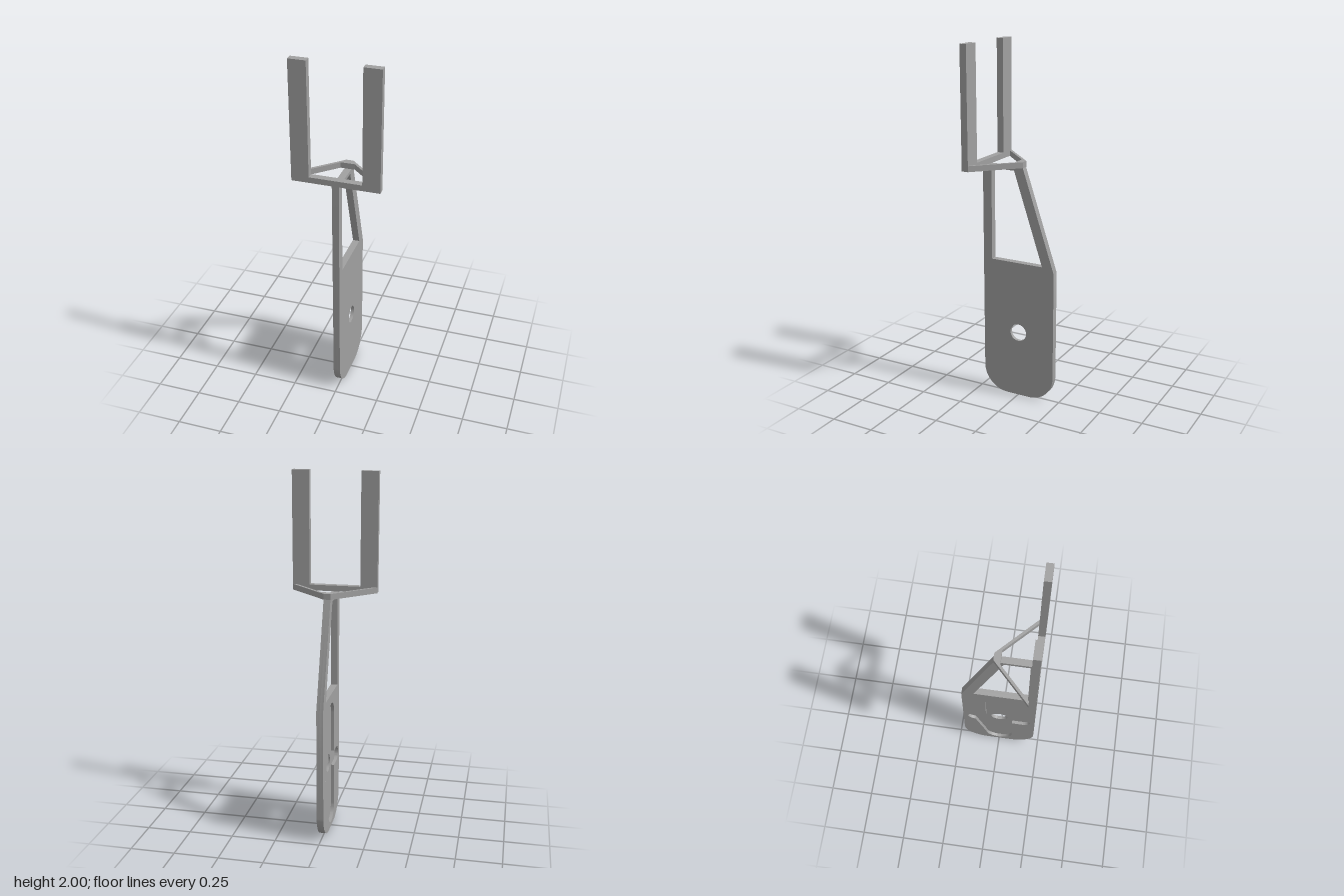
import * as THREE from 'three';
import { toCreasedNormals } from 'three/addons/utils/BufferGeometryUtils.js';

const grey = new THREE.MeshStandardMaterial({ color: 0xa0a0a0 });
grey.name = 'grey';

const HALF = 0.0188; // half the plate thickness
const FRONT = 0.218; // half the depth
const HUB_Y = 0.385; // height of the shaft hole

const points = (list) => list.map(([x, y]) => new THREE.Vector2(x, y));

function extrude(shape, depth) {
  const geometry = new THREE.ExtrudeGeometry(shape, { depth, bevelEnabled: false, curveSegments: 16 });
  return toCreasedNormals(geometry, 0.6);
}

function addMesh(group, name, geometry) {
  const mesh = new THREE.Mesh(geometry, grey);
  mesh.name = name;
  group.add(mesh);
}

// Side outline of the arm, drawn with u = -z, with its window cut out
function armShape() {
  const r = 0.148;
  const s = new THREE.Shape();
  s.moveTo(-FRONT, 1.34);
  s.lineTo(-FRONT, r);
  s.absarc(-FRONT + r, r, r, Math.PI, Math.PI * 1.5, false);
  s.absarc(FRONT - r, r, r, Math.PI * 1.5, Math.PI * 2, false);
  s.lineTo(FRONT, 0.77);
  s.lineTo(0.028, 1.34);
  s.closePath();
  s.holes.push(new THREE.Path(points([[-0.165, 0.8], [-0.165, 1.32], [-0.025, 1.32], [0.147, 0.8]])));
  return s;
}

// Cross-shaped recess with rounded ends
function crossPath() {
  const R = 0.08, r = 0.044, tall = 0.36 - R, wide = 0.19 - r;
  const p = new THREE.Path();
  const q = Math.PI / 2;
  p.moveTo(R, HUB_Y - r);
  p.absarc(wide, HUB_Y, r, -q, q, false);
  p.lineTo(R, HUB_Y + r);
  p.absarc(0, HUB_Y + tall, R, 0, 2 * q, false);
  p.lineTo(-R, HUB_Y + r);
  p.absarc(-wide, HUB_Y, r, q, 3 * q, false);
  p.lineTo(-R, HUB_Y - r);
  p.absarc(0, HUB_Y - tall, R, 2 * q, 4 * q, false);
  p.closePath();
  return p;
}

export function createModel() {
  const model = new THREE.Group();
  model.name = 'forkArm';

  // Arm in two layers: a shaft hole through one, the recess through the other
  const shaftHole = new THREE.Path();
  shaftHole.absarc(0, HUB_Y, 0.05, 0, Math.PI * 2, false);
  const layers = [['armPlate', shaftHole, 0], ['recessedArmPlate', crossPath(), -HALF]];
  for (const [name, hole, x] of layers) {
    const shape = armShape();
    shape.holes.push(hole);
    addMesh(model, name, extrude(shape, HALF).rotateY(Math.PI / 2).translate(x, 0, 0));
  }

  // Two-pronged fork
  const fork = new THREE.Shape(points([
    [-0.238, 1.34], [0.238, 1.34], [0.238, 2], [0.143, 2],
    [0.143, 1.372], [-0.143, 1.372], [-0.143, 2], [-0.238, 2],
  ]));
  addMesh(model, 'fork', extrude(fork, FRONT - 0.18).translate(0, 0, 0.18));

  // Diagonal braces behind the fork, drawn in x and z
  const brace = new THREE.Shape(points([
    [-0.238, 0.18], [-0.02, -0.029], [0.02, -0.029], [0.238, 0.18],
    [0.216, 0.18], [0.039, 0.009], [-0.039, 0.009], [-0.216, 0.18],
  ]));
  addMesh(model, 'braces', extrude(brace, 0.032).rotateX(Math.PI / 2).translate(0, 1.372, 0));

  return model;
}
